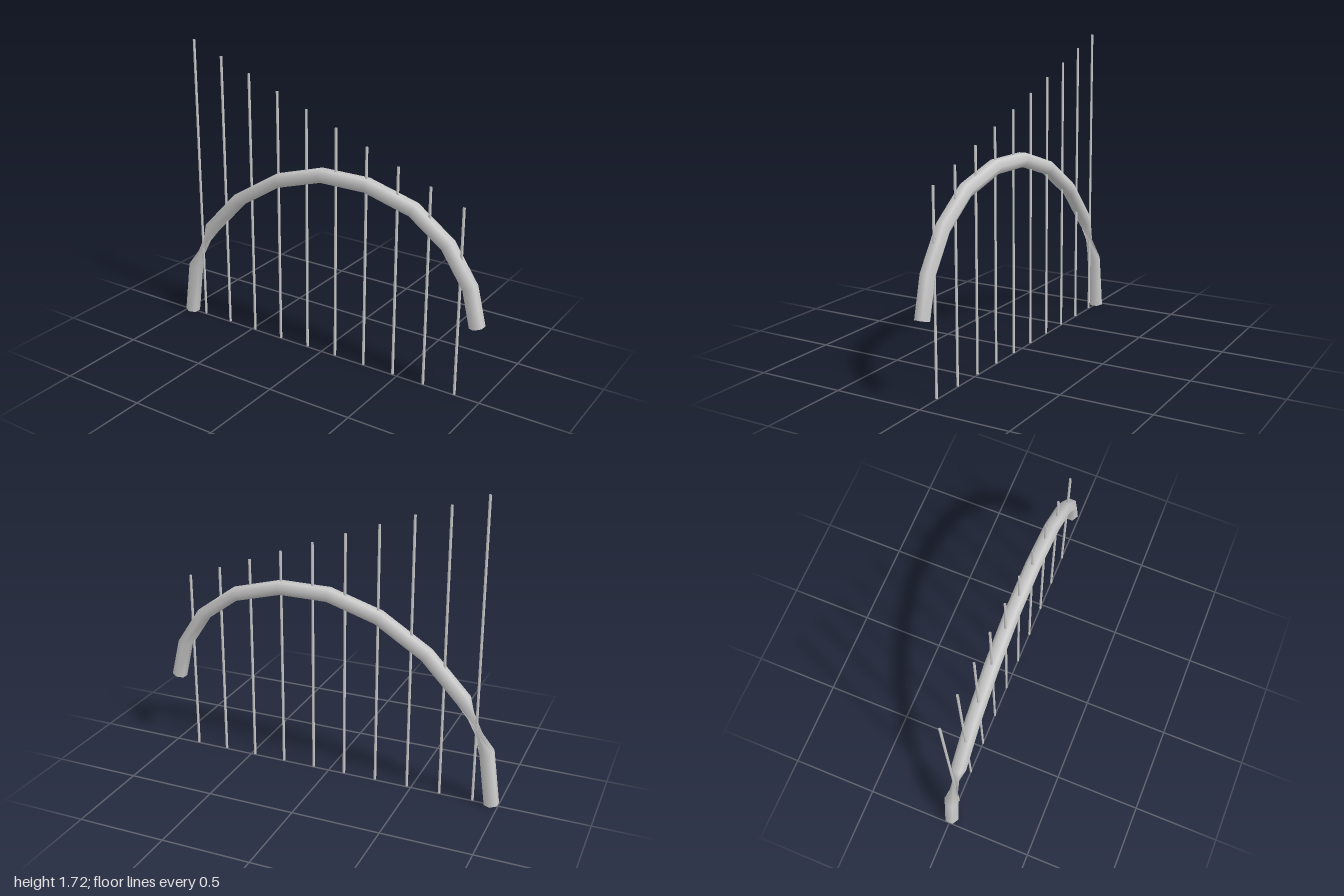
import * as THREE from 'three';

const grey = new THREE.MeshStandardMaterial({ color: 0xcccccc, side: THREE.DoubleSide });
grey.name = 'light grey';

// Centres of the cross-sections along the arch, as [x, y]
const PATH = [
  [-0.963, 0.005], [-0.92, 0.314], [-0.78, 0.593], [-0.565, 0.819], [-0.29, 0.99], [0, 1.078],
  [0.288, 1.079], [0.57, 1.002], [0.776, 0.852], [0.912, 0.648], [0.963, 0.438],
];
const SIDES = 6, RADIUS = 0.043;

// Open six-sided tube; the first two rings are turned half round, so the second segment pinches
function archGeometry() {
  const pos = [], nor = [], index = [];
  PATH.forEach(([x, y], i) => {
    const a = PATH[Math.max(i - 1, 0)], b = PATH[Math.min(i + 1, PATH.length - 1)];
    const len = Math.hypot(b[0] - a[0], b[1] - a[1]);
    const nx = -(b[1] - a[1]) / len, ny = (b[0] - a[0]) / len;
    const turn = i < 2 ? Math.PI : 0;
    for (let j = 0; j <= SIDES; j++) {
      const t = (j / SIDES) * Math.PI * 2 + turn;
      const n = [nx * Math.sin(t), ny * Math.sin(t), Math.cos(t)];
      nor.push(...n);
      pos.push(x + RADIUS * n[0], y + RADIUS * n[1], RADIUS * n[2]);
    }
  });
  const row = SIDES + 1;
  for (let i = 0; i < PATH.length - 1; i++) {
    for (let j = 0; j < SIDES; j++) {
      const p = i * row + j, q = p + row;
      index.push(p, q, p + 1, q, q + 1, p + 1);
    }
  }
  const g = new THREE.BufferGeometry();
  g.setAttribute('position', new THREE.Float32BufferAttribute(pos, 3));
  g.setAttribute('normal', new THREE.Float32BufferAttribute(nor, 3));
  g.setIndex(index);
  return g;
}

export function createModel() {
  const model = new THREE.Group();
  model.name = 'archWithRods';

  const arch = new THREE.Mesh(archGeometry(), grey);
  arch.name = 'arch';
  model.add(arch);

  // Row of thin upright rods, getting shorter towards the left
  const rods = new THREE.Group();
  rods.name = 'rods';
  const base = 0.005;
  for (let i = 0; i < 10; i++) {
    const top = 1.715 - i * 0.0712;
    const g = new THREE.CylinderGeometry(0.0075, 0.0075, top - base, 6, 1, true);
    const rod = new THREE.Mesh(g, grey);
    rod.name = 'rod' + (i + 1);
    rod.position.set(-0.856 + i * 0.19, (top + base) / 2, 0);
    rods.add(rod);
  }
  model.add(rods);
  return model;
}
